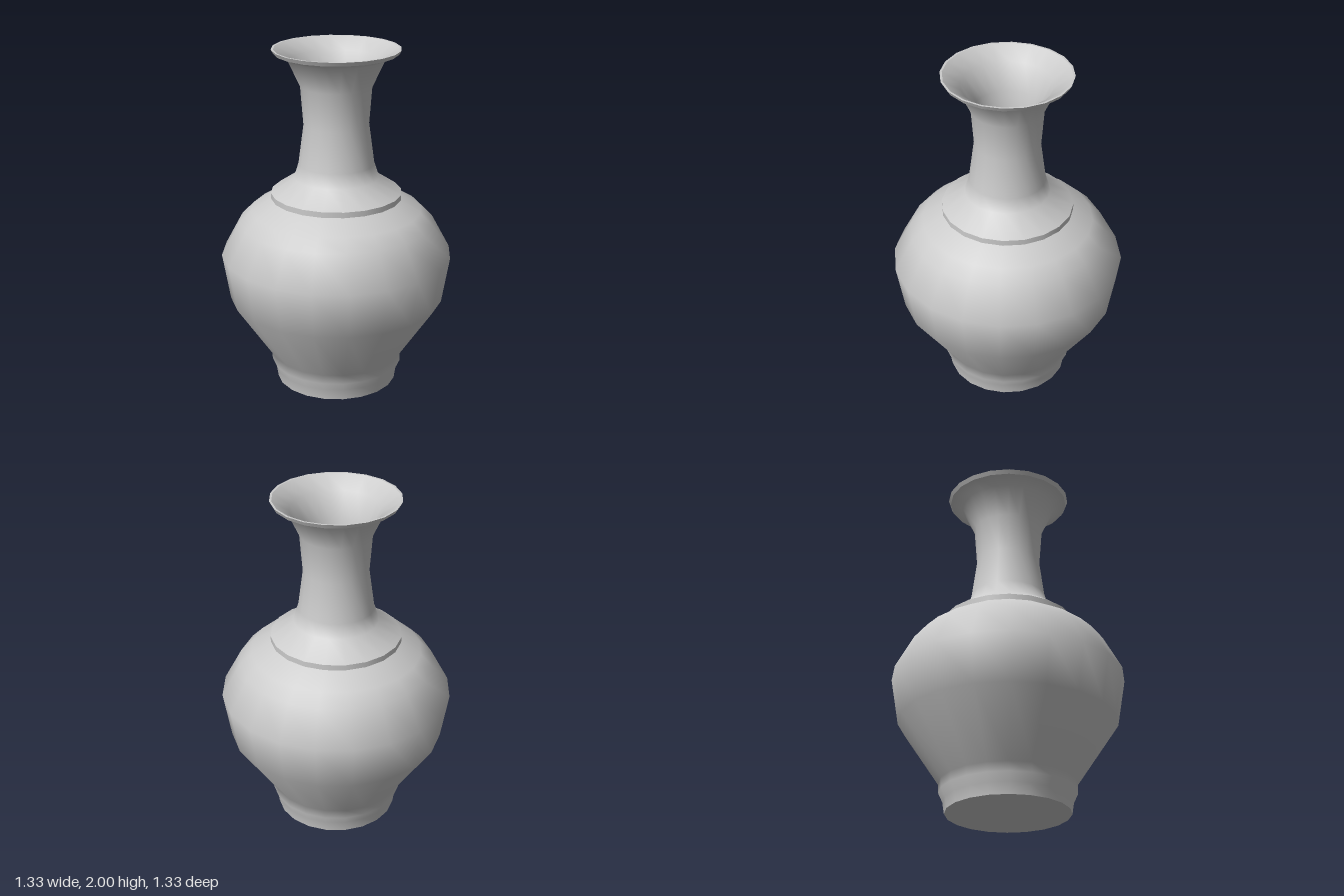
import * as THREE from 'three';

const SIDES = 20;

export function createModel() {
  const vase = new THREE.Group();
  vase.name = 'vase';
  const material = new THREE.MeshStandardMaterial({ color: 0xcccccc });

  // Each part is a turned profile of [radius, height]; separate parts keep a crisp edge between them
  function turned(name, profile) {
    const points = profile.map(([r, y]) => new THREE.Vector2(r, y));
    const mesh = new THREE.Mesh(new THREE.LatheGeometry(points, SIDES), material);
    mesh.name = name;
    vase.add(mesh);
  }

  // Slightly bulging underside
  turned('base', [[0, 0], [0.35, 0.015]]);

  // Foot flaring up into the belly
  turned('footAndBelly', [
    [0.35, 0.015], [0.36, 0.08], [0.383, 0.13], [0.385, 0.185],
    [0.62, 0.535], [0.665, 0.805], [0.56, 1.0], [0.49, 1.07], [0.375, 1.14],
  ]);

  // Small step around the shoulder
  turned('shoulderStep', [[0.375, 1.14], [0.375, 1.172]]);

  // Shoulder, waisted neck and flared mouth
  turned('neck', [
    [0.375, 1.172], [0.243, 1.26], [0.217, 1.34], [0.186, 1.57],
    [0.203, 1.79], [0.275, 1.945], [0.35, 1.977],
  ]);

  // Rim edge and its narrow top
  turned('rim', [[0.35, 1.977], [0.362, 2.0]]);
  turned('rimTop', [[0.362, 2.0], [0.35, 2.0]]);

  // Hollow inside, from the mouth down to the floor
  turned('innerWall', [
    [0.35, 2.0], [0.255, 1.935], [0.182, 1.79], [0.162, 1.57], [0.195, 1.34],
    [0.22, 1.25], [0.35, 1.15], [0.535, 0.985], [0.635, 0.8], [0.59, 0.545],
    [0.355, 0.19], [0.33, 0.06],
  ]);
  turned('innerFloor', [[0.33, 0.06], [0, 0.06]]);

  return vase;
}
